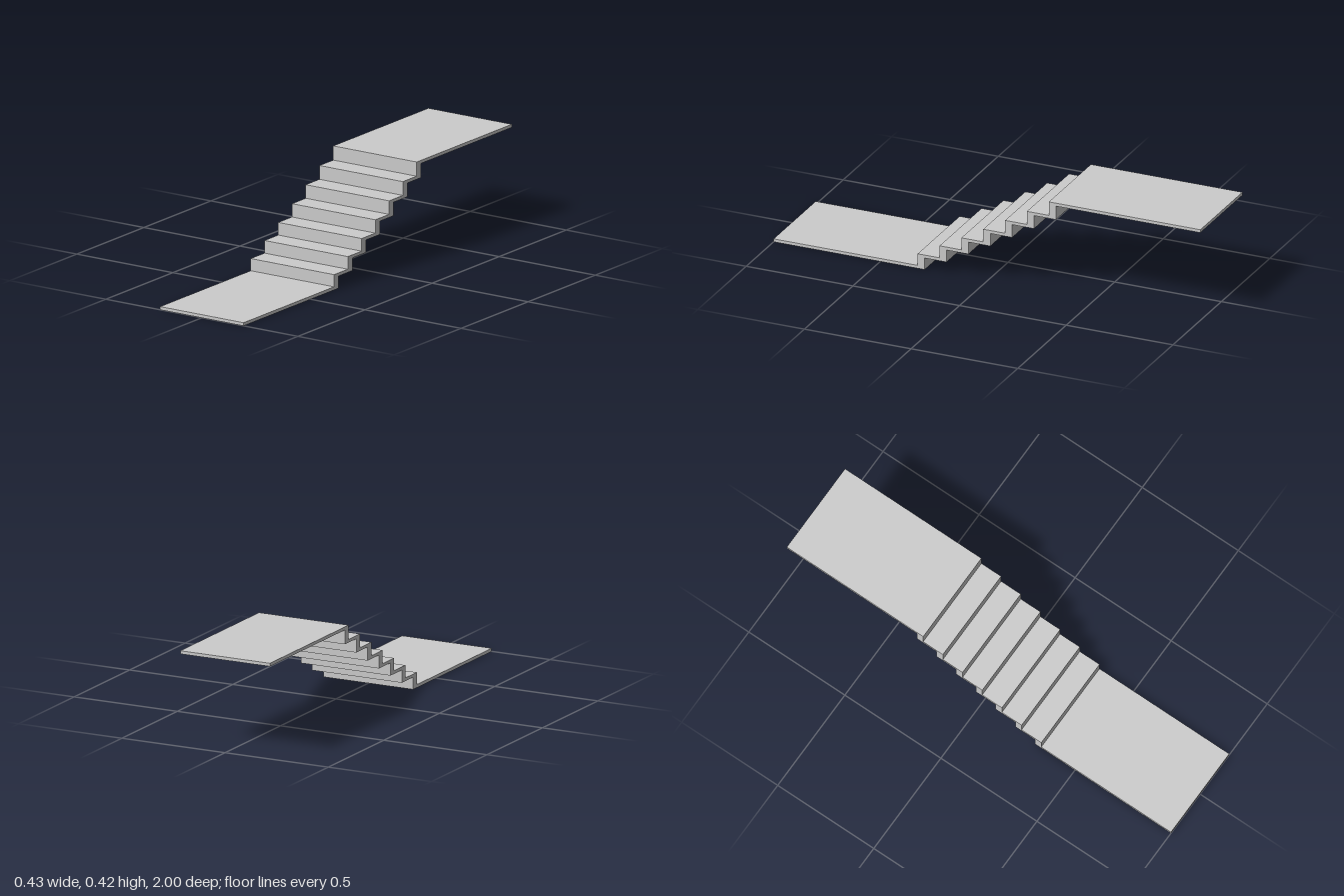
import * as THREE from 'three';

const WIDTH = 0.434;
const SLAB = 0.014; // thickness of treads and landings
const RISER = 0.033; // thickness of risers
const LEVELS = [0.014, 0.068, 0.124, 0.18, 0.239, 0.299, 0.36, 0.423]; // walking surfaces
const FIRST_RISER = 0.325;
const GOING = 0.1025;

export function createModel() {
  const group = new THREE.Group();
  group.name = 'staircase';
  const material = new THREE.MeshStandardMaterial({ color: 0xcccccc, flatShading: true });

  // Side profile: x is the distance towards the back, y is the height
  const top = [[-1, LEVELS[0]]];
  const under = [[-1, 0]];
  for (let i = 0; i < LEVELS.length - 1; i++) {
    const face = -FIRST_RISER + i * GOING;
    top.push([face, LEVELS[i]], [face, LEVELS[i + 1]]);
    under.push([face + RISER, LEVELS[i] - SLAB], [face + RISER, LEVELS[i + 1] - SLAB]);
  }
  const last = LEVELS[LEVELS.length - 1];
  top.push([1, last]);
  under.push([1, last - SLAB]);

  // Landings and folded steps as one continuous slab
  const outline = [...under, ...top.reverse()].map(([x, y]) => new THREE.Vector2(x, y));
  const geometry = new THREE.ExtrudeGeometry(new THREE.Shape(outline), {
    depth: WIDTH,
    bevelEnabled: false,
  });
  geometry.translate(0, 0, -WIDTH / 2);
  geometry.rotateY(Math.PI / 2);

  const stairs = new THREE.Mesh(geometry, material);
  stairs.name = 'stepsAndLandings';
  group.add(stairs);
  return group;
}
